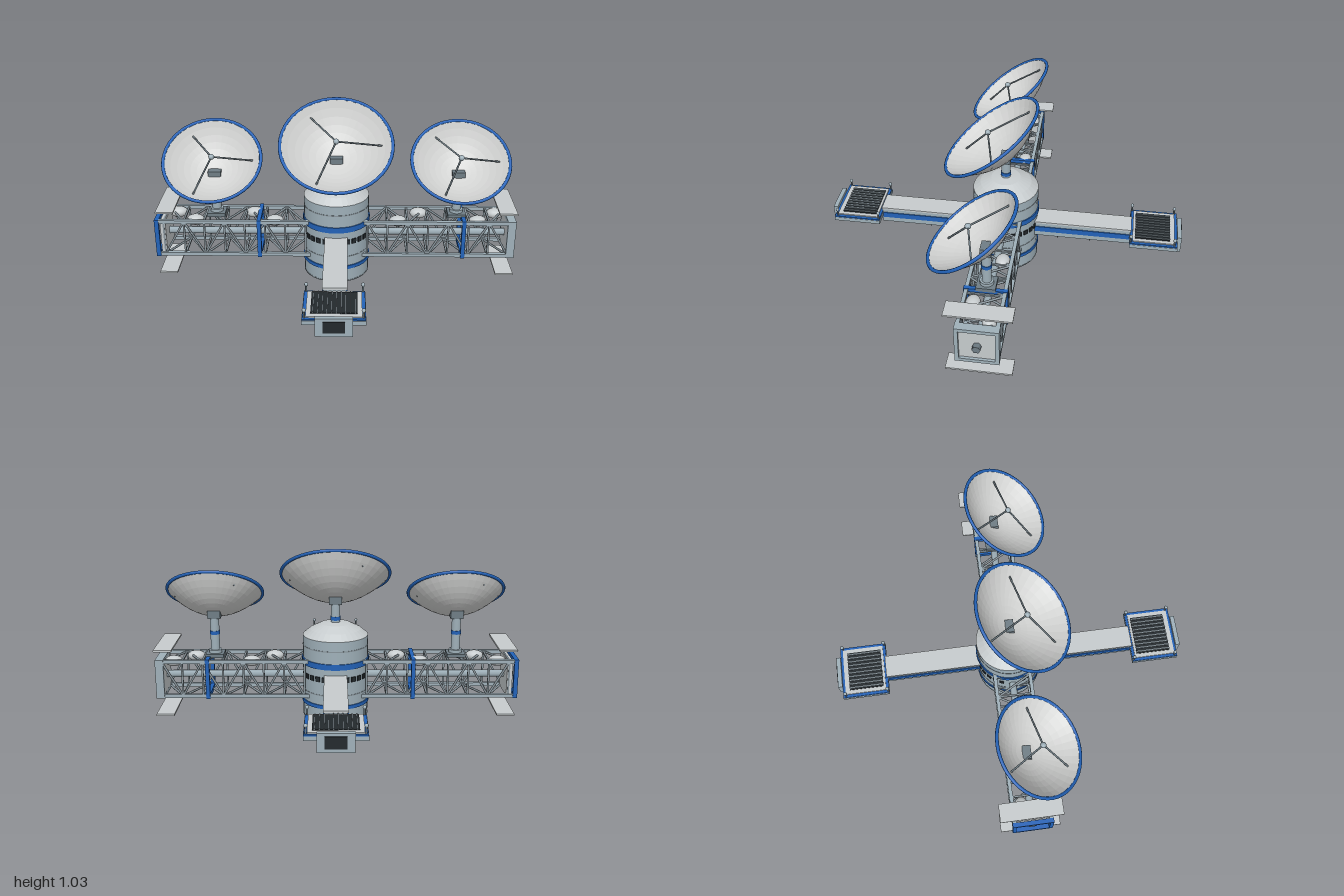
import * as THREE from 'three';

const mat = (name, color) => {
  const m = new THREE.MeshStandardMaterial({ color });
  m.name = name;
  return m;
};

export function createModel() {
  const steel = mat('blue grey steel', 0x9fb0b9);
  const light = mat('pale grey', 0xc6cbcd);
  const dishGrey = mat('dish grey', 0xd2d3d2);
  const blue = mat('blue trim', 0x2262b8);
  const dark = mat('dark glass', 0x23292d);
  const mid = mat('mid grey', 0x6f7d85);
  const strutGrey = mat('strut grey', 0x87939a);

  const root = new THREE.Group();
  root.name = 'spaceStation';
  const group = (name, parent = root) => {
    const g = new THREE.Group();
    g.name = name;
    parent.add(g);
    return g;
  };
  const add = (parent, name, geo, m, x = 0, y = 0, z = 0) => {
    const mesh = new THREE.Mesh(geo, m);
    mesh.name = name;
    mesh.position.set(x, y, z);
    parent.add(mesh);
    return mesh;
  };
  const box = (p, name, m, w, h, d, x, y, z) => add(p, name, new THREE.BoxGeometry(w, h, d), m, x, y, z);
  const cyl = (p, name, m, r, h, x, y, z, seg = 16) =>
    add(p, name, new THREE.CylinderGeometry(r, r, h, seg), m, x, y, z);
  const faceted = (geo) => {
    const g = geo.toNonIndexed();
    g.computeVertexNormals();
    return g;
  };
  const lathe = (pts, seg) =>
    faceted(new THREE.LatheGeometry(pts.map(([r, y]) => new THREE.Vector2(r, y)), seg));
  const UP = new THREE.Vector3(0, 1, 0);
  const strut = (p, name, m, a, b, r) => {
    const A = new THREE.Vector3(...a), dir = new THREE.Vector3(...b).sub(A);
    const s = cyl(p, name, m, r, dir.length(), 0, 0, 0, 6);
    s.position.copy(A).addScaledVector(dir, 0.5);
    s.quaternion.setFromUnitVectors(UP, dir.normalize());
  };
  // Square frame standing across the x axis
  const frame = (p, name, m, x, w, half, t) => {
    for (const s of [-1, 1]) {
      box(p, name, m, w, half * 2, t, x, 0.3, s * (half - t / 2));
      box(p, name, m, w, t, half * 2 - t * 2, x, 0.3 + s * (half - t / 2), 0);
    }
  };

  // Central hull
  const hull = group('hull');
  add(hull, 'hullBottom', lathe([[0, 0], [0.05, 0.012], [0.18, 0.07]], 32), mid);
  add(hull, 'hullBody', new THREE.CylinderGeometry(0.18, 0.18, 0.46, 32, 1, true), steel, 0, 0.3, 0);
  add(hull, 'hullDome', lathe([[0.18, 0.53], [0.14, 0.563], [0.08, 0.592], [0, 0.602]], 32), light);
  for (const [y, h] of [[0.39, 0.032], [0.16, 0.02]]) cyl(hull, 'hullBand', blue, 0.186, h, 0, y, 0, 32);
  for (const y of [0.075, 0.225, 0.475]) cyl(hull, 'hullSeam', strutGrey, 0.1815, 0.006, 0, y, 0, 32);
  for (let q = 0; q < 4; q++)
    for (let i = -2; i <= 2; i++) {
      const a = Math.PI / 4 + q * Math.PI / 2 + i * 0.22;
      box(hull, 'window', dark, 0.026, 0.028, 0.008, Math.sin(a) * 0.181, 0.315, Math.cos(a) * 0.181).rotation.y = a;
    }

  // Dish antenna on a mast; apex is where bowl meets mast
  const dish = (name, x, apex, base, R, D, bandY) => {
    const g = group(name);
    const h = apex - base;
    cyl(g, 'mast', steel, 0.025, h, x, base + h / 2, 0);
    cyl(g, 'mastBand', blue, 0.028, 0.02, x, bandY, 0);
    box(g, 'mastHead', mid, 0.07, 0.045, 0.055, x, apex - 0.005, 0);
    const head = group('dishHead', g);
    head.position.set(x, apex, -0.006);
    head.rotation.x = 0.62;
    const profile = [];
    for (let i = 0; i <= 8; i++) profile.push([R * i / 8, D * (i / 8) ** 2]);
    const inner = profile.map(([r, y]) => [r * 0.99, y + 0.006]).reverse();
    add(head, 'bowl', lathe([...profile, ...inner], 36), dishGrey);
    const rim = add(head, 'rim', new THREE.TorusGeometry(R, 0.009, 8, 48), blue, 0, D, 0);
    rim.rotation.x = Math.PI / 2;
    const feed = D + 0.028;
    add(head, 'feed', new THREE.SphereGeometry(0.016, 12, 8), steel, 0, feed, 0);
    for (let k = 0; k < 3; k++) {
      const a = 0.09 + k * Math.PI * 2 / 3, r = R * 0.84;
      strut(head, 'feedStrut', mid, [0, feed, 0], [Math.cos(a) * r, D * 0.7, -Math.sin(a) * r], 0.005);
    }
  };
  dish('centreDish', 0, 0.726, 0.595, 0.3, 0.15, 0.62);
  for (const s of [-1, 1]) {
    dish('sideDish', s * 0.665, 0.648, 0.41, 0.262, 0.13, 0.54);
    box(root, 'mastBase', mid, 0.1, 0.02, 0.1, s * 0.665, 0.415, 0);
    cyl(root, 'mastFlange', steel, 0.036, 0.02, s * 0.665, 0.433, 0);
  }

  // Lattice booms along x
  const bays = 7, x0 = 0.17, x1 = 0.95, step = (x1 - x0) / bays, c = 0.098;
  for (const s of [-1, 1]) {
    const boom = group(s > 0 ? 'leftBoom' : 'rightBoom');
    for (const v of [-1, 1])
      for (const w of [-1, 1])
        box(boom, 'chord', steel, 0.84, 0.02, 0.02, s * 0.56, 0.3 + v * c, w * c);
    for (let i = 0; i <= bays; i++) {
      const x = s * (x0 + i * step);
      for (const w of [-1, 1]) {
        box(boom, 'post', strutGrey, 0.01, 0.18, 0.01, x, 0.3, w * c);
        box(boom, 'crossbar', strutGrey, 0.01, 0.01, 0.18, x, 0.3 + w * c, 0);
        if (i === bays) continue;
        const f = (i % 2 ? 1 : -1) * w, xn = x + s * step;
        strut(boom, 'brace', strutGrey, [x, 0.3 - f * c, w * c], [xn, 0.3 + f * c, w * c], 0.0065);
        strut(boom, 'brace', strutGrey, [x, 0.3 + w * c, -f * c], [xn, 0.3 + w * c, f * c], 0.0065);
      }
    }
    strut(boom, 'corePipe', steel, [s * 0.17, 0.3, 0], [s * 0.95, 0.3, 0], 0.02);
    // Rounded tanks lying in the top of the boom
    for (const [x, z] of [[0.34, 0.055], [0.46, -0.05], [0.78, 0.05], [0.89, -0.05]])
      add(boom, 'tank', new THREE.SphereGeometry(0.045, 16, 10), light, s * x, 0.39, z).scale.set(1.1, 0.65, 0.85);
    // End plate with a round port
    box(boom, 'endPlate', light, 0.03, 0.2, 0.2, s * 0.955, 0.3, 0);
    strut(boom, 'endPort', mid, [s * 0.96, 0.295, 0], [s * (s > 0 ? 1 : 0.99), 0.295, 0], 0.022);
    frame(boom, 'endFrame', s > 0 ? steel : blue, s > 0 ? 0.962 : -0.988, s > 0 ? 0.045 : 0.024, 0.11, 0.02);
    frame(boom, 'ringFrame', blue, s > 0 ? 0.7 : -0.425, 0.022, 0.112, 0.024);
    // Flat radiator panels above and below the boom end
    for (const y of [0.48, 0.117]) box(boom, 'radiator', light, 0.097, 0.01, 0.335, s * 0.928, y, -0.005);
  }

  // Docking arms along z
  for (const s of [-1, 1]) {
    const arm = group(s > 0 ? 'frontArm' : 'backArm');
    if (s < 0) arm.rotation.y = Math.PI;
    box(arm, 'armBeam', steel, 0.116, 0.086, 0.54, 0, 0.289, 0.435);
    box(arm, 'armTop', light, 0.124, 0.01, 0.54, 0, 0.337, 0.435);
    for (const x of [-1, 1]) box(arm, 'armStripe', blue, 0.006, 0.032, 0.53, x * 0.06, 0.293, 0.435);
    [0.3, 0.36, 0.43, 0.48, 0.54].forEach((z, i) => {
      const spike = add(arm, 'spike', new THREE.ConeGeometry(0.008, 0.034, 6), mid, (i % 3 - 1) * 0.035, 0.231, z);
      spike.rotation.x = Math.PI;
    });
    // Landing pad with dark slotted grille
    box(arm, 'padSlab', steel, 0.3, 0.022, 0.26, 0, 0.305, 0.828);
    box(arm, 'padTrim', blue, 0.296, 0.008, 0.256, 0, 0.319, 0.828);
    box(arm, 'padTray', light, 0.264, 0.01, 0.228, 0, 0.325, 0.828);
    box(arm, 'padGrille', dark, 0.22, 0.006, 0.19, 0, 0.331, 0.822);
    for (let i = 0; i < 10; i++)
      box(arm, 'slat', strutGrey, 0.006, 0.009, 0.19, -0.099 + i * 0.022, 0.335, 0.822);
    for (const x of [-1, 1])
      for (const z of [0.705, 0.94]) {
        cyl(arm, 'beaconPole', mid, 0.005, 0.045, x * 0.138, 0.338, z, 8);
        add(arm, 'beacon', new THREE.SphereGeometry(0.01, 8, 6), steel, x * 0.138, 0.362, z);
      }
    box(arm, 'endPanel', steel, 0.176, 0.096, 0.024, 0, 0.293, 0.968);
    box(arm, 'endScreen', dark, 0.104, 0.06, 0.006, 0, 0.295, 0.981);
  }
  return root;
}
